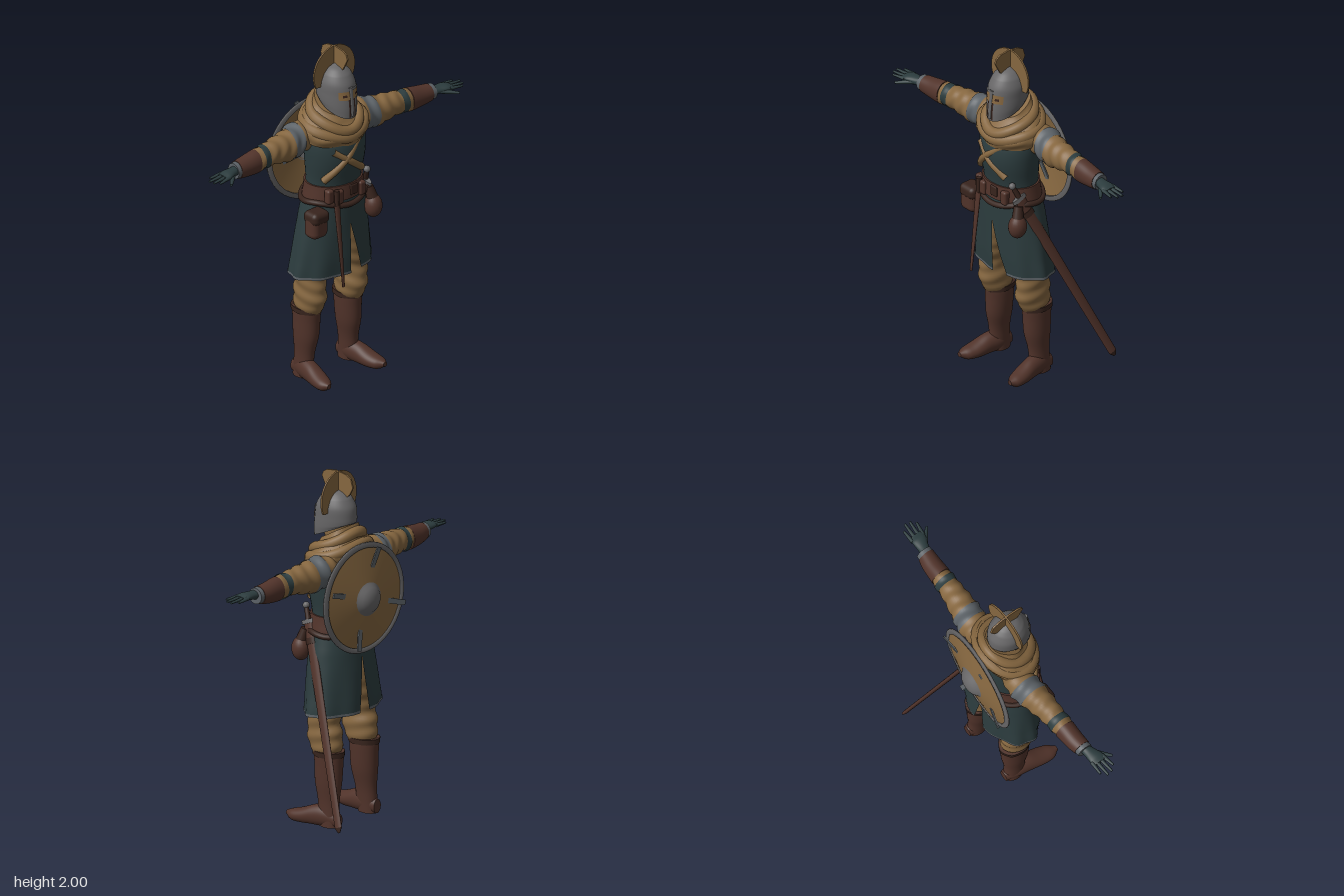
import * as THREE from 'three';
import { RoundedBoxGeometry } from 'three/addons/geometries/RoundedBoxGeometry.js';

const V = (x, y, z) => new THREE.Vector3(x, y, z);
const mat = (name, color) => Object.assign(new THREE.MeshStandardMaterial({ color, side: THREE.DoubleSide }), { name });

// Smoothly interpolated cross-section [t, a, b, ra, rb, tilt] at position t
function section(S, t) {
  let i = 0;
  while (i < S.length - 2 && t > S[i + 1][0]) i++;
  const u = (t - S[i][0]) / (S[i + 1][0] - S[i][0]);
  const p = [S[Math.max(i - 1, 0)], S[i], S[i + 1], S[Math.min(i + 2, S.length - 1)]];
  return [1, 2, 3, 4, 5].map(k => {
    const [a, b, c, d] = p.map(s => s[k] || 0);
    return b + 0.5 * u * (c - a + u * (2 * a - 5 * b + 4 * c - d + u * (3 * (b - c) + d - a)));
  });
}

// Skin over elliptical sections along an axis; from/to/arc cut out a piece of it
function loft(S, o = {}) {
  const { axis = 'y', from = S[0][0], to = S[S.length - 1][0], steps = 24, n = 36, grow = 0, arc, fold, cap = true, floor } = o;
  const pos = [], idx = [], cols = arc ? n + 1 : n;
  for (let i = 0; i <= steps; i++) {
    const t = from + (to - from) * i / steps;
    const [a, b, ra, rb, tilt] = section(S, t);
    const [t0, t1] = arc ? arc(t) : [0, Math.PI * 2];
    for (let j = 0; j < cols; j++) {
      const th = t0 + (t1 - t0) * j / n, k = fold ? 1 + fold(t, th) : 1;
      const c = Math.cos(th) * k, s = Math.sin(th) * k, A = ra + grow, B = rb + grow;
      const p = axis === 'y' ? [a + A * c, t + tilt * s, b + B * s]
        : axis === 'x' ? [t, a + A * s, b + B * c] : [a + A * s, b + B * c, t];
      if (floor !== undefined) p[1] = Math.max(p[1], floor);
      pos.push(...p);
    }
  }
  for (let i = 0; i < steps; i++) for (let j = 0; j < n; j++) {
    const a = i * cols + j, b = i * cols + (j + 1) % cols;
    idx.push(a, a + cols, b, a + cols, b + cols, b);
  }
  if (cap && !arc) for (const end of [0, steps]) {
    const base = pos.length / 3, ring = pos.slice(end * n * 3, (end + 1) * n * 3), m = [0, 0, 0];
    ring.forEach((v, k) => { m[k % 3] += v / n; });
    pos.push(...ring, ...m);
    for (let j = 0; j < n; j++) {
      const a = base + j, b = base + (j + 1) % n;
      idx.push(base + n, ...(end ? [b, a] : [a, b]));
    }
  }
  const g = new THREE.BufferGeometry();
  g.setAttribute('position', new THREE.Float32BufferAttribute(pos, 3));
  g.setIndex(idx);
  g.computeVertexNormals();
  return g;
}

// Tapered bar from p to q, flattened along the thin direction
function bar(p, q, r0, r1, flat = 1, thin = V(1, 0, 0), sides = 14) {
  const d = q.clone().sub(p), Y = d.clone().normalize();
  const X = thin.clone().addScaledVector(Y, -thin.dot(Y)).normalize();
  const g = new THREE.CylinderGeometry(r1, r0, d.length(), sides).scale(flat, 1, 1);
  return g.applyMatrix4(new THREE.Matrix4().makeBasis(X, Y, X.clone().cross(Y)).setPosition(p.clone().lerp(q, 0.5)));
}
const tube = (pts, r, closed = false) => new THREE.TubeGeometry(new THREE.CatmullRomCurve3(pts, closed), 48, r, 12, closed);
// Tilted closed loop of cloth or leather around the body
const loop = (y, z, rx, rz, tilt, r, wave = 0) => tube(Array.from({ length: 16 }, (_, i) => {
  const a = i * Math.PI / 8;
  return V(rx * Math.cos(a), y - tilt * Math.sin(a) + wave * Math.sin(a * 3), z + rz * Math.sin(a));
}), r, true);
const box = (w, h, d, x, y, z, r = 0.02) => new RoundedBoxGeometry(w, h, d, 3, r).translate(x, y, z);
function mirror(g) {
  const m = g.clone().scale(-1, 1, 1), ix = m.index.array;
  for (let i = 0; i < ix.length; i += 3) [ix[i + 1], ix[i + 2]] = [ix[i + 2], ix[i + 1]];
  m.computeVertexNormals();
  return m;
}

export function createModel() {
  const root = new THREE.Group();
  root.name = 'warrior';
  const tan = mat('tan cloth', 0x866740), teal = mat('dark teal cloth', 0x2c3c3e), brown = mat('brown leather', 0x51332a);
  const steel = mat('steel', 0x676667), trim = mat('blue grey trim', 0x5c6267), dark = mat('dark leather', 0x38241d);
  const add = (name, g, m, parent = root) => {
    const mesh = new THREE.Mesh(g, m);
    mesh.name = name;
    parent.add(mesh);
    return mesh;
  };
  const pair = (name, g, m) => { add(name + 'Left', g, m); add(name + 'Right', mirror(g), m); };

  // Torso and chest straps
  add('torso', loft([[1.08, 0, .075, .18, .135], [1.2, 0, .08, .168, .135], [1.35, 0, .09, .183, .15],
    [1.45, 0, .085, .188, .145], [1.53, 0, .07, .17, .12], [1.6, 0, .06, .09, .08]]), teal);
  add('chestStrapA', tube([V(-.15, 1.24, .165), V(-.1, 1.3, .205), V(-.03, 1.37, .228), V(.09, 1.47, .195)], .021), tan);
  add('chestStrapB', tube([V(-.11, 1.42, .2), V(-.01, 1.345, .23), V(.095, 1.265, .205)], .021), tan);

  // Cowl
  add('cowl', loft([[1.47, 0, .08, .2, .15, -.03], [1.52, 0, .08, .222, .163, -.03], [1.575, 0, .075, .19, .145, -.035],
    [1.62, 0, .075, .135, .12, -.045], [1.66, 0, .075, .105, .1, -.055]], { fold: (t, a) => .02 * Math.sin(a * 5 + t * 60) }), tan);
  add('cowlUpperFold', loop(1.595, .09, .135, .125, .065, .033, .008), tan);
  add('cowlLowerFold', loop(1.545, .08, .18, .14, .05, .034, .008), tan);

  // Sleeves, bracers and gloves
  const arm = [[.12, 1.48, .03, .08, .07], [.22, 1.485, .03, .088, .085], [.32, 1.47, .045, .088, .08],
    [.42, 1.475, .055, .074, .068], [.5, 1.472, .06, .064, .06], [.57, 1.465, .064, .066, .056], [.65, 1.462, .067, .056, .052], [.73, 1.465, .075, .046, .045]];
  const fold = (t, a) => .05 * Math.sin(t * 85 + 1.5 * Math.sin(a * 2));
  pair('sleeve', loft(arm, { axis: 'x', to: .58, steps: 48, fold }), tan);
  pair('shoulderPatch', loft(arm, { axis: 'x', from: .235, to: .31, steps: 10, grow: .004, fold, cap: false }), trim);
  pair('sleeveBand', loft(arm, { axis: 'x', from: .49, to: .53, steps: 8, grow: .004, fold, cap: false }), teal);
  pair('bracer', loft(arm, { axis: 'x', from: .56, to: .705, grow: .003 }), brown);
  pair('cuff', loft(arm, { axis: 'x', from: .7, to: .73 }), trim);
  pair('palm', loft([[.71, 1.47, .08, .028, .03], [.75, 1.472, .088, .024, .034], [.8, 1.475, .097, .02, .043], [.835, 1.472, .1, .013, .04]], { axis: 'x' }), teal);
  [[.062, .06, .89], [.085, .09, .92], [.11, .12, .915], [.132, .147, .89]].forEach(([z0, z1, x], i) =>
    pair('finger' + (i + 1), bar(V(.81, 1.474, z0), V(x, 1.47, z1), .013, .007, .85, V(0, 1, 0), 10), teal));
  pair('thumb', bar(V(.76, 1.466, .105), V(.84, 1.455, .18), .017, .008, .9, V(0, 1, 0), 10), teal);

  // Skirt in two panels, open front and back, with a grey hem
  const skirt = [[.645, 0, .055, .27, .16], [.75, 0, .06, .255, .16], [.88, 0, .065, .235, .155],
    [1, 0, .07, .213, .15], [1.08, 0, .075, .195, .145], [1.15, 0, .08, .18, .14]];
  const open = t => Math.max(0, (.96 - t) / .3);
  const pleat = (t, a) => .025 * open(t) * Math.sin(a * 9);
  const panels = [t => [-Math.PI / 2 + .14 * open(t), Math.PI / 2 - .36 * open(t)],
    t => [Math.PI / 2 - .02 * open(t), Math.PI * 1.5 - .14 * open(t)]];
  panels.forEach((arc, i) => {
    add('skirtPanel' + (i + 1), loft(skirt, { arc, fold: pleat }), teal);
    add('skirtHem' + (i + 1), loft(skirt, { arc, fold: pleat, to: .66, steps: 2, grow: .003 }), trim);
  });

  // Trousers and boots
  pair('trouserLeg', loft([[.4, .15, .035, .06, .08], [.45, .15, .05, .073, .1], [.52, .15, .056, .076, .11], [.6, .152, .06, .073, .1],
    [.7, .138, .06, .095, .115], [.85, .105, .06, .105, .125], [.97, .09, .065, .1, .12]],
    { steps: 48, fold: (t, a) => .045 * Math.sin(t * 75 + 2 * Math.sin(a)) * Math.min(1, Math.max(0, (.85 - t) * 5)) }), tan);
  const boot = [[0, .165, .01, .046, .062], [.08, .163, .018, .047, .065], [.15, .16, .022, .05, .067],
    [.25, .155, .028, .063, .082], [.36, .152, .028, .069, .087], [.435, .152, .028, .072, .091]];
  pair('bootShaft', loft(boot), brown);
  pair('bootCuff', loft(boot, { from: .405, to: .435, grow: .005, steps: 4, fold: (t, a) => .02 * Math.sin(a * 7) }), dark);
  pair('bootFoot', loft([[-.055, .165, .04, .03, .04], [.02, .167, .055, .05, .062], [.1, .178, .05, .052, .06],
    [.18, .19, .035, .053, .045], [.24, .2, .03, .042, .033], [.277, .206, .035, .014, .014]], { axis: 'z', floor: 0 }), brown);

  // Belts, pouches and dagger
  add('belt', loft([[1.11, 0, .078, .19, .149], [1.15, 0, .08, .184, .146], [1.2, 0, .08, .178, .143]], { steps: 6 }), brown);
  add('hipBelt', loop(1.1, .076, .195, .15, .012, .016, .012), dark);
  add('buckle', box(.05, .06, .012, .02, 1.16, .226, .005), dark);
  [[-.13, 1.15, .19], [-.075, 1.14, .21], [.09, 1.14, .205]].forEach(([x, y, z], i) => add('beltPouch' + (i + 1), box(.045, .085, .045, x, y, z, .014), brown));
  add('largePouch', box(.115, .15, .1, -.212, 1, .175, .035), brown);
  add('largePouchFlap', box(.12, .075, .11, -.21, 1.05, .177, .03), dark);
  add('smallPouch', new THREE.SphereGeometry(.06, 20, 14).scale(.85, 1.15, .9).translate(.185, .995, .2), brown);
  add('smallPouchNeck', bar(V(.185, 1.03, .2), V(.17, 1.11, .18), .035, .025), dark);
  add('daggerSheath', bar(V(-.105, 1.1, .228), V(-.105, .62, .282), .02, .009, .5, V(0, 0, 1)), brown);
  add('daggerGrip', bar(V(-.105, 1.1, .228), V(-.105, 1.19, .225), .012, .015), dark);

  // Sheathed sword at the left hip
  const hilt = V(.165, 1.14, .16), tip = V(.437, .12, -.275), along = (s) => hilt.clone().lerp(tip, s);
  add('scabbard', bar(hilt, tip, .034, .025, .4), brown);
  add('scabbardTip', bar(tip, along(1.025), .025, .008, .4), dark);
  add('scabbardBand', bar(along(.07), along(.1), .037, .037, .45), dark);
  add('swordGuard', bar(along(0), along(-.02), .05, .05, .3), steel);
  add('swordGrip', bar(along(-.02), along(-.085), .015, .013), dark);
  add('swordPommel', new THREE.SphereGeometry(.02, 14, 10).translate(...along(-.09).toArray()), steel);

  // Helmet with eye openings and nose guard
  const helm = [[1.66, 0, .11, .092, .127, -.055], [1.69, 0, .107, .098, .13, -.025], [1.74, 0, .102, .1, .126, 0], [1.8, 0, .1, .098, .118],
    [1.85, 0, .1, .077, .09], [1.88, 0, .1, .045, .053], [1.896, 0, .1, .003, .003]];
  add('neck', loft([[1.56, 0, .08, .075, .075], [1.72, 0, .09, .075, .08]]), tan);
  add('helmet', loft(helm, { steps: 36 }), steel);
  add('helmetBrow', loft(helm, { from: 1.772, to: 1.788, steps: 3, grow: .006, arc: () => [.7, Math.PI - .7] }), steel);
  for (const s of [-1, 1]) {
    const arc = (p, q) => () => (s > 0 ? [Math.PI / 2 - q, Math.PI / 2 - p] : [Math.PI / 2 + p, Math.PI / 2 + q]);
    const side = s > 0 ? 'Left' : 'Right';
    add('eyeOpening' + side, loft(helm, { from: 1.725, to: 1.768, steps: 4, n: 10, grow: .003, arc: arc(.1, .72) }), tan);
    add('eye' + side, loft(helm, { from: 1.738, to: 1.75, steps: 2, n: 6, grow: .005, arc: arc(.28, .5) }), dark);
    add('cheekSlit' + side, loft(helm, { from: 1.665, to: 1.726, steps: 6, n: 4, grow: .003, arc: arc(.12, .22) }), dark);
  }
  add('noseGuard', bar(V(0, 1.62, .24), V(0, 1.79, .222), .009, .014, .7, V(0, 0, 1), 8), steel);

  // Two crossing crest fans
  const fan = new THREE.Shape().absellipse(0, 1.845, .15, .152, -.47, Math.PI + .47, false);
  const extrude = s => new THREE.ExtrudeGeometry(s, { depth: .01, bevelEnabled: false, curveSegments: 32 }).translate(0, 0, -.005);
  add('crestAcross', extrude(fan).translate(0, 0, .085), tan);
  const ridge = new THREE.Shape([[.06, 1.82], [.15, 1.86], [.175, 1.9], [.2, 1.95], [.19, 1.975], [.165, 1.991], [.1, 1.999],
    [.03, 1.988], [-.005, 1.968], [-.02, 1.92], [0, 1.88], [.04, 1.84]].map(([z, y]) => new THREE.Vector2(-z, y)));
  add('crestAlong', extrude(ridge).rotateY(Math.PI / 2), tan);

  // Round shield on the back
  const shield = new THREE.Group();
  shield.name = 'shield';
  shield.position.set(.01, 1.305, -.1);
  shield.rotation.set(.025, -.08, 0);
  root.add(shield);
  const lathe = pts => new THREE.LatheGeometry(pts.map(p => new THREE.Vector2(...p)), 48).rotateX(-Math.PI / 2);
  add('shieldFace', lathe([[.3, .002], [.2, .023], [.09, .042]]), tan, shield);
  add('shieldRim', lathe([[.285, -.006], [.312, -.006], [.315, .002], [.312, .008], [.285, .012], [.285, -.006]]), steel, shield);
  add('shieldBoss', lathe([[.1, .038], [.085, .047], [.07, .064], [.045, .078], [.02, .084], [0, .085]]), steel, shield);
  for (let i = 0; i < 4; i++) {
    const g = new THREE.BoxGeometry(.21, .03, .008).rotateY(.185).translate(.19, 0, -.026);
    add('shieldBand' + (i + 1), g.rotateZ(.3 + i * Math.PI / 2), trim, shield);
  }
  return root;
}
